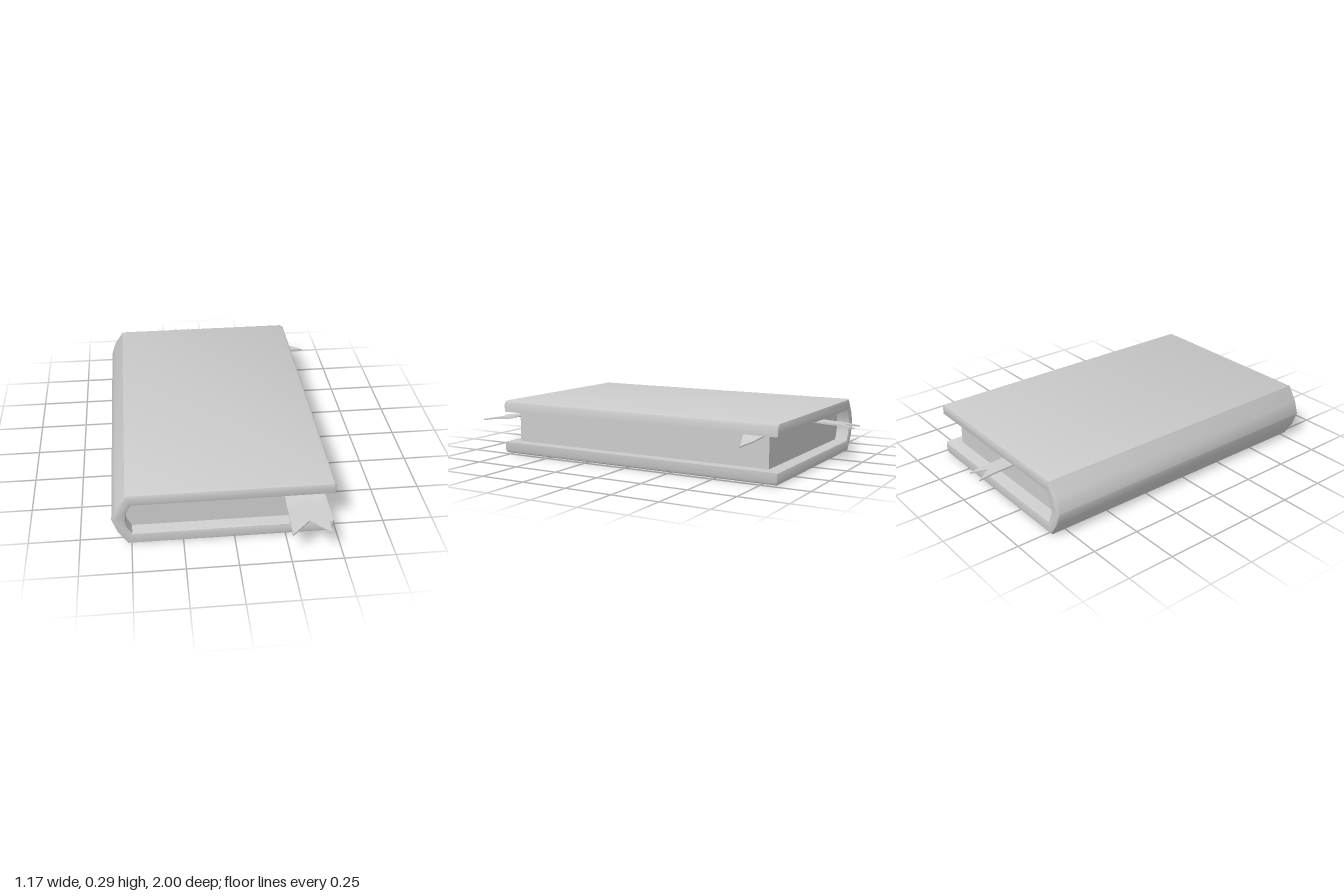
import * as THREE from 'three';
import { toCreasedNormals } from 'three/addons/utils/BufferGeometryUtils.js';

const material = new THREE.MeshStandardMaterial({ color: 0xcccccc, side: THREE.DoubleSide });
const MID = 0.146; // height of the book's middle plane

// Extrude an outline given by its lower half, mirrored about the middle plane
function mirroredExtrude(name, half, z0, z1, bevel) {
  const upper = half.slice().reverse().map(([x, y]) => [x, 2 * MID - y]);
  const seen = new Set();
  const points = [...half, ...upper]
    .filter(([x, y]) => {
      const key = x.toFixed(4) + ',' + y.toFixed(4);
      return !seen.has(key) && seen.add(key);
    })
    .map(([x, y]) => new THREE.Vector2(x, y));
  const geo = new THREE.ExtrudeGeometry(new THREE.Shape(points), {
    depth: z1 - z0 - 2 * bevel,
    bevelEnabled: bevel > 0,
    bevelSize: bevel,
    bevelThickness: bevel,
    bevelOffset: -bevel,
    bevelSegments: 2,
  });
  geo.translate(0, 0, z0 + bevel);
  const mesh = new THREE.Mesh(toCreasedNormals(geo, 0.7), material);
  mesh.name = name;
  return mesh;
}

// Height along a ribbon, from [distance, height] pairs
function heightAt(path, d) {
  for (let i = 1; i < path.length; i++) {
    const [d0, y0] = path[i - 1], [d1, y1] = path[i];
    if (d <= d1 || i === path.length - 1) return y0 + ((y1 - y0) * (d - d0)) / (d1 - d0);
  }
}

// Thin ribbon running along +z, swallow-tailed by notch or narrowed by taper
function ribbon(name, path, width, notch, taper) {
  const thick = 0.008, start = path[0][0];
  const length = path[path.length - 1][0] - start;
  const geo = new THREE.BoxGeometry(2, thick, 1, 2, 1, 12);
  const p = geo.attributes.position;
  for (let i = 0; i < p.count; i++) {
    const s = p.getX(i), t = p.getZ(i) + 0.5;
    const d = start + t * (length - notch * (1 - Math.abs(s)));
    p.setXYZ(i, (s * width * (1 - taper * t)) / 2, p.getY(i) + heightAt(path, d), d);
  }
  const mesh = new THREE.Mesh(toCreasedNormals(geo, 0.7), material);
  mesh.name = name;
  return mesh;
}

export function createModel() {
  const group = new THREE.Group();
  group.name = 'book';

  // Cover: two boards joined by a pointed spine
  group.add(mirroredExtrude('cover', [
    [-0.525, MID], [-0.518, 0.106], [-0.495, 0.062],
    [0.487, 0.062], [0.487, 0.02], [0.481, 0.006], [0.467, 0],
    [-0.52, 0], [-0.525, 0.012], [-0.565, 0.072], [-0.59, MID],
  ].reverse(), -0.83, 0.8, 0.012));

  // Page block, reaching into the spine
  group.add(mirroredExtrude('pages', [
    [-0.53, MID], [-0.52, 0.106], [-0.5, 0.055], [0.425, 0.055],
  ], -0.76, 0.735, 0));

  // Ribbon bookmarks
  const front = ribbon('frontRibbon',
    [[0.68, 0.222], [0.73, 0.207], [0.8, 0.186], [0.9, 0.178], [1, 0.163]], 0.185, 0.08, 0);
  front.position.x = 0.338;

  const back = ribbon('backRibbon',
    [[0.7, 0.222], [0.83, 0.215], [0.92, 0.211], [1, 0.201]], 0.09, 0.075, 0);
  back.rotation.y = Math.PI;
  back.position.x = -0.14;

  const side = ribbon('sideMarker',
    [[0.41, 0.228], [0.44, 0.217], [0.5, 0.201], [0.585, 0.187]], 0.125, 0, 1);
  side.rotation.y = Math.PI / 2;
  side.position.z = -0.682;

  group.add(front, back, side);
  return group;
}
